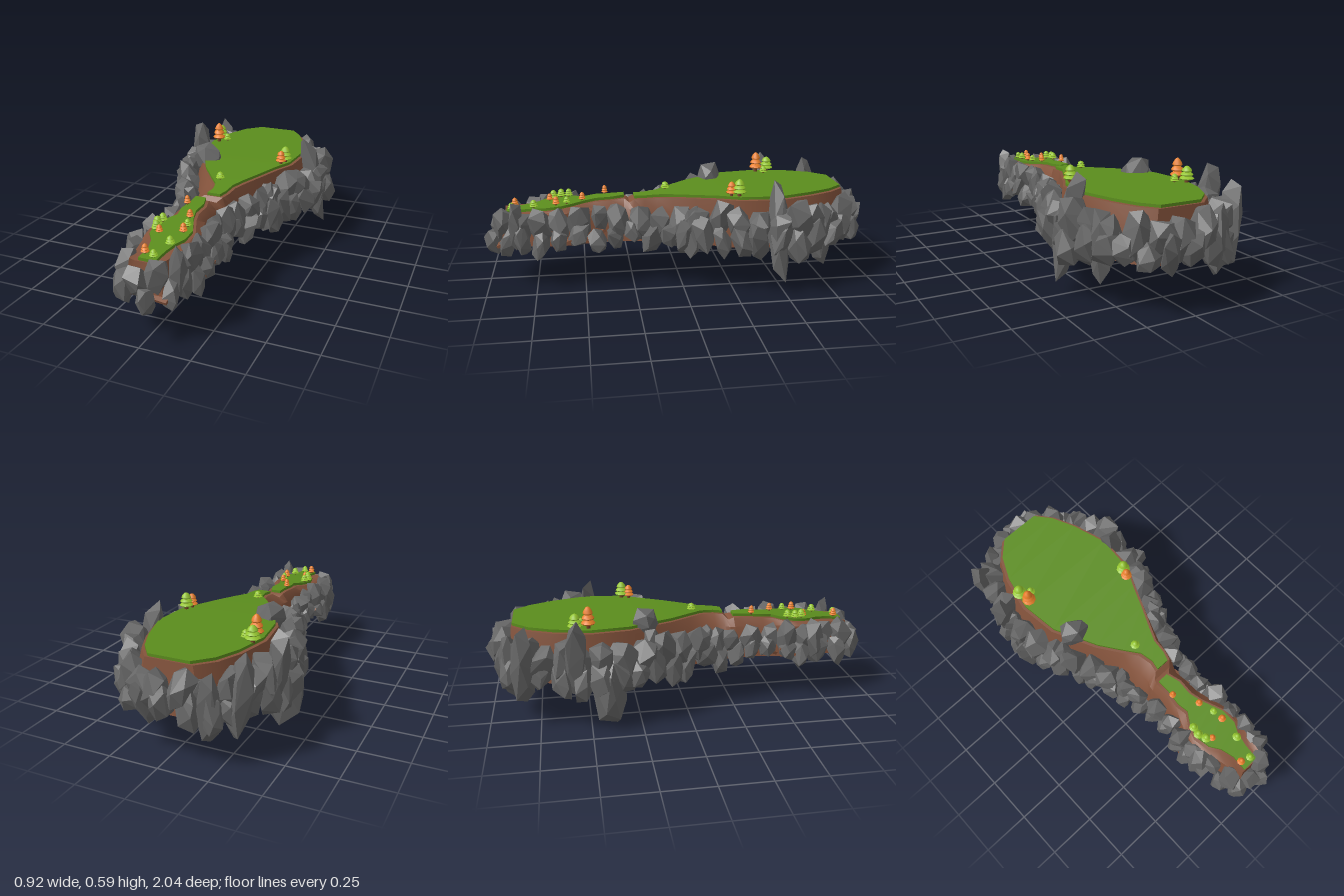
import * as THREE from 'three';
import { toCreasedNormals } from 'three/addons/utils/BufferGeometryUtils.js';
import { ConvexGeometry } from 'three/addons/geometries/ConvexGeometry.js';

const mat = (name, color, side = THREE.FrontSide) => {
  const m = new THREE.MeshStandardMaterial({ color, side });
  m.name = name;
  return m;
};

// small seeded generator
let seed = 7;
const rnd = () => {
  seed = (seed * 16807) % 2147483647;
  return seed / 2147483647;
};
const vary = (a) => (rnd() * 2 - 1) * a;
const { lerp, smoothstep } = THREE.MathUtils;

// half width of the rock ring along z
const RING = [
  [-0.92, 0.1], [-0.88, 0.18], [-0.78, 0.275], [-0.6, 0.35], [-0.42, 0.36], [-0.2, 0.295], [0, 0.21],
  [0.2, 0.15], [0.4, 0.13], [0.6, 0.14], [0.8, 0.115], [0.89, 0.08], [0.92, 0.03],
];
function ringWidth(z) {
  for (let i = 1; i < RING.length; i++) {
    const [a, wa] = RING[i - 1], [b, wb] = RING[i];
    if (z <= b) return lerp(wa, wb, Math.max(0, (z - a) / (b - a)));
  }
  return RING.at(-1)[1];
}

// grass edges: z, left edge, right edge, height
const PLATEAU = [
  [-0.88, -0.1, 0.11, 0.477], [-0.8, -0.18, 0.175, 0.477], [-0.68, -0.235, 0.23, 0.477],
  [-0.5, -0.275, 0.285, 0.476], [-0.3, -0.25, 0.27, 0.475], [-0.2, -0.2, 0.22, 0.473],
  [-0.08, -0.14, 0.17, 0.468], [0.03, -0.06, 0.12, 0.462], [0.1, -0.005, 0.09, 0.456],
  [0.17, 0.01, 0.085, 0.451], [0.22, 0.0, 0.07, 0.447],
];
const TAIL = [
  [0.27, -0.04, 0.015, 0.44], [0.34, -0.04, 0.035, 0.437], [0.42, -0.05, 0.03, 0.432],
  [0.48, -0.04, 0.045, 0.425], [0.54, -0.08, 0.07, 0.418], [0.6, -0.1, 0.095, 0.413],
  [0.68, -0.085, 0.095, 0.406], [0.73, -0.05, 0.07, 0.4], [0.8, -0.03, 0.055, 0.393], [0.88, -0.035, 0.05, 0.385],
];

// joins equal cross-sections into a skin with two end caps
function loft(sections, closed) {
  const n = sections[0].length, index = [];
  sections.slice(1).forEach((_, s) => {
    for (let i = 0; i < (closed ? n : n - 1); i++) {
      const a = s * n + i, b = s * n + ((i + 1) % n);
      index.push(a, b, a + n, b, b + n, a + n);
    }
  });
  const end = (sections.length - 1) * n;
  for (let i = 1; i < n - 1; i++) index.push(0, i + 1, i, end, end + i, end + i + 1);
  const g = new THREE.BufferGeometry();
  g.setAttribute('position', new THREE.Float32BufferAttribute(sections.flat(2), 3));
  g.setIndex(index);
  return toCreasedNormals(g, 0.6);
}

const grassSection = ([z, l, r, y]) => [[l, y - 0.014, z], [l, y, z], [r, y, z], [r, y - 0.014, z]];

// steep walls under the plateau, wider foot under the tail
function dirtSection([z, l, r, y]) {
  const foot = ringWidth(z) - 0.03 + 0.04 * smoothstep(z, 0.3, 0.6), top = y - 0.016;
  const wall = (edge, sign) => {
    const rim = edge + sign * 0.015, low = sign * Math.max(foot, Math.abs(rim) + 0.025);
    return [
      [rim, top, z * 1.005],
      [lerp(rim, low, 0.5), 0.38, z * 1.015],
      [lerp(rim, low, 0.8), 0.29, z * 1.025],
      [low, 0.215, z * 1.035],
    ];
  };
  return [...wall(l, -1).reverse(), ...wall(r, 1)];
}

// blocky boulder: hull of a few jittered points spread over a rounded block
function rockGeometry(rx, h, rz, lean = 0, n = 14) {
  const pts = [], turn = rnd() * 6.28;
  for (let i = 0; i < n; i++) {
    const y = 1 - (2 * (i + 0.3)) / (n - 0.4), a = turn + i * 2.4 + vary(0.4);
    const r = Math.pow(1 - y * y, 0.3) * (0.95 + vary(0.16));
    pts.push(new THREE.Vector3(Math.cos(a) * r * rx + lean * y, y * h, Math.sin(a) * r * rz));
  }
  return new ConvexGeometry(pts);
}

export function createModel() {
  seed = 7;
  const model = new THREE.Group();
  model.name = 'rockyIsland';
  const grass = mat('grass green', 0x5b8d1d, THREE.DoubleSide);
  const dirt = mat('dirt brown', 0x84533c, THREE.DoubleSide);
  const stone = mat('stone grey', 0x676767);
  const leaf = mat('leaf green', 0x94c52e);
  const autumn = mat('autumn orange', 0xee822b);
  const bark = mat('bark brown', 0x6e3f26);

  const add = (parent, name, geometry, material, x = 0, y = 0, z = 0) => {
    const m = new THREE.Mesh(geometry, material);
    m.name = name;
    m.position.set(x, y, z);
    parent.add(m);
    return m;
  };

  // ground
  add(model, 'plateauGrass', loft(PLATEAU.map(grassSection), true), grass);
  add(model, 'tailGrass', loft(TAIL.map(grassSection), true), grass);
  const gap = [0.245, -0.03, 0.045, 0.425];
  add(model, 'dirtBody', loft([...PLATEAU, gap, ...TAIL].map(dirtSection), false), dirt);

  // dirt ledges under the tail: z, width, height, turn
  const LEDGES = [[0.33, 0.25, 0.26, 0.3], [0.45, 0.27, 0.25, 0.2], [0.57, 0.37, 0.245, -0.12], [0.72, 0.27, 0.25, 0.25], [0.87, 0.25, 0.24, -0.1]];
  for (const [z, w, y, turn] of LEDGES) {
    add(model, 'dirtLedge', new THREE.BoxGeometry(w, 0.015, 0.11), dirt, 0, y, z).rotation.set(0.4, turn, 0);
  }

  // rim rocks in staggered rows
  const rocks = new THREE.Group();
  rocks.name = 'rimRocks';
  model.add(rocks);
  const side = RING.map(([z, w]) => new THREE.Vector3(w, 0, z));
  const mirrored = side.map((p) => new THREE.Vector3(-p.x, 0, p.z)).reverse();
  const ring = new THREE.CatmullRomCurve3([...side, ...mirrored], true, 'centripetal');
  const ROWS = [
    { n: 42, out: -0.004, y: 0.335, r: 0.06, h: 0.085 },
    { n: 46, out: 0.026, y: 0.265, r: 0.052, h: 0.08 },
  ];
  ROWS.forEach(({ n, out, y, r, h }, row) => {
    for (let i = 0; i < n; i++) {
      const t = (i + row * 0.5 + 0.3 + vary(0.15)) / n;
      const p = ring.getPointAt(t % 1), d = ring.getTangentAt(t % 1);
      const big = 1 - smoothstep(p.z, -0.2, 0.3);
      const size = r * (1 + 0.2 * big) * (1 + vary(0.15));
      const tall = h * (1 + 0.2 * big) * (1 + vary(0.25));
      const off = out + vary(0.01);
      const drop = 0.03 * smoothstep(p.z, 0.4, 0.9);
      const rock = add(rocks, 'rimRock', rockGeometry(size, tall, size), stone,
        p.x + d.z * off, y + vary(0.025) + 0.01 * big - drop, p.z - d.x * off);
      rock.rotation.set(vary(0.35), 0, vary(0.35));
    }
  });

  // large boulders and spikes: x, z, radius, bottom, top, lean
  const BOULDERS = [
    [-0.355, -0.42, 0.098, 0.0, 0.36, 0.005],
    [-0.38, -0.58, 0.06, 0.18, 0.56, -0.015],
    [-0.31, -0.83, 0.06, 0.12, 0.53, -0.015],
    [-0.185, -0.22, 0.08, 0.38, 0.55, -0.01],
    [-0.29, -0.2, 0.06, 0.2, 0.47, 0.02],
    [0.355, -0.49, 0.06, 0.065, 0.565, -0.06],
    [0.31, -0.72, 0.06, 0.11, 0.45, 0],
    [-0.19, -0.9, 0.055, 0.11, 0.45, 0],
    [0.125, 0.83, 0.045, 0.2, 0.45, 0.005],
    [-0.155, 0.69, 0.06, 0.22, 0.42, 0.01],
    [0.25, -0.06, 0.06, 0.15, 0.43, -0.02],
    [-0.15, 0.1, 0.055, 0.22, 0.42, 0],
  ];
  for (const [x, z, r, low, high, lean] of BOULDERS) {
    add(rocks, 'boulder', rockGeometry(r, (high - low) / 2 * 1.04, r, lean, 16), stone, x, (low + high) / 2, z);
  }

  // trees: x, z, ground height, height, width, autumn or green
  const trees = new THREE.Group();
  trees.name = 'trees';
  model.add(trees);
  const trunkGeo = new THREE.CylinderGeometry(0.1, 0.16, 0.34, 7);
  const tierGeo = [[0.5, 0.24], [0.44, 0.26], [0.35, 0.34]].map(([r, h], i) => {
    const profile = [[0, 0.03], [r * 0.9, 0], [r, 0.05], [r * 0.8, h * 0.5], [r * 0.4, h * 0.85], [0, h]];
    const g = new THREE.LatheGeometry(profile.map(([x, y]) => new THREE.Vector2(x, y)), 9);
    return toCreasedNormals(g, 0.9).translate(0, 0.22 + i * 0.22, 0);
  });
  const TREES = [
    [-0.24, -0.505, 0.475, 0.115, 0.072, 1], [-0.25, -0.57, 0.475, 0.085, 0.075, 0],
    [-0.2, -0.54, 0.475, 0.045, 0.045, 0], [0.243, -0.3, 0.475, 0.09, 0.072, 0],
    [0.23, -0.262, 0.475, 0.075, 0.058, 1], [0, 0.05, 0.46, 0.042, 0.048, 0],
    [-0.04, 0.37, 0.434, 0.05, 0.035, 1], [0.03, 0.49, 0.424, 0.045, 0.037, 1],
    [-0.078, 0.56, 0.416, 0.045, 0.045, 0], [-0.085, 0.6, 0.412, 0.048, 0.048, 0],
    [-0.07, 0.64, 0.408, 0.05, 0.048, 0], [-0.045, 0.66, 0.406, 0.042, 0.036, 1],
    [0.06, 0.625, 0.41, 0.05, 0.04, 1], [0.055, 0.57, 0.416, 0.04, 0.038, 0],
    [0.05, 0.74, 0.398, 0.045, 0.045, 0], [-0.022, 0.84, 0.388, 0.05, 0.04, 1],
    [0.027, 0.855, 0.386, 0.04, 0.04, 0],
  ];
  for (const [x, z, y, h, w, isAutumn] of TREES) {
    const tree = new THREE.Group();
    tree.name = isAutumn ? 'autumnTree' : 'greenTree';
    add(tree, 'trunk', trunkGeo, bark, 0, 0.14, 0);
    tierGeo.forEach((g, i) => {
      const tier = add(tree, 'foliage', g, isAutumn ? autumn : leaf);
      tier.rotation.y = i * 0.5 + x * 20;
    });
    tree.position.set(x, y - 0.002, z);
    tree.scale.set(w, h, w);
    trees.add(tree);
  }

  // centre the model and stand it on the ground
  model.updateMatrixWorld(true);
  const box = new THREE.Box3().setFromObject(model, true);
  const c = box.getCenter(new THREE.Vector3());
  model.position.set(-c.x, -box.min.y, -c.z);
  return model;
}
